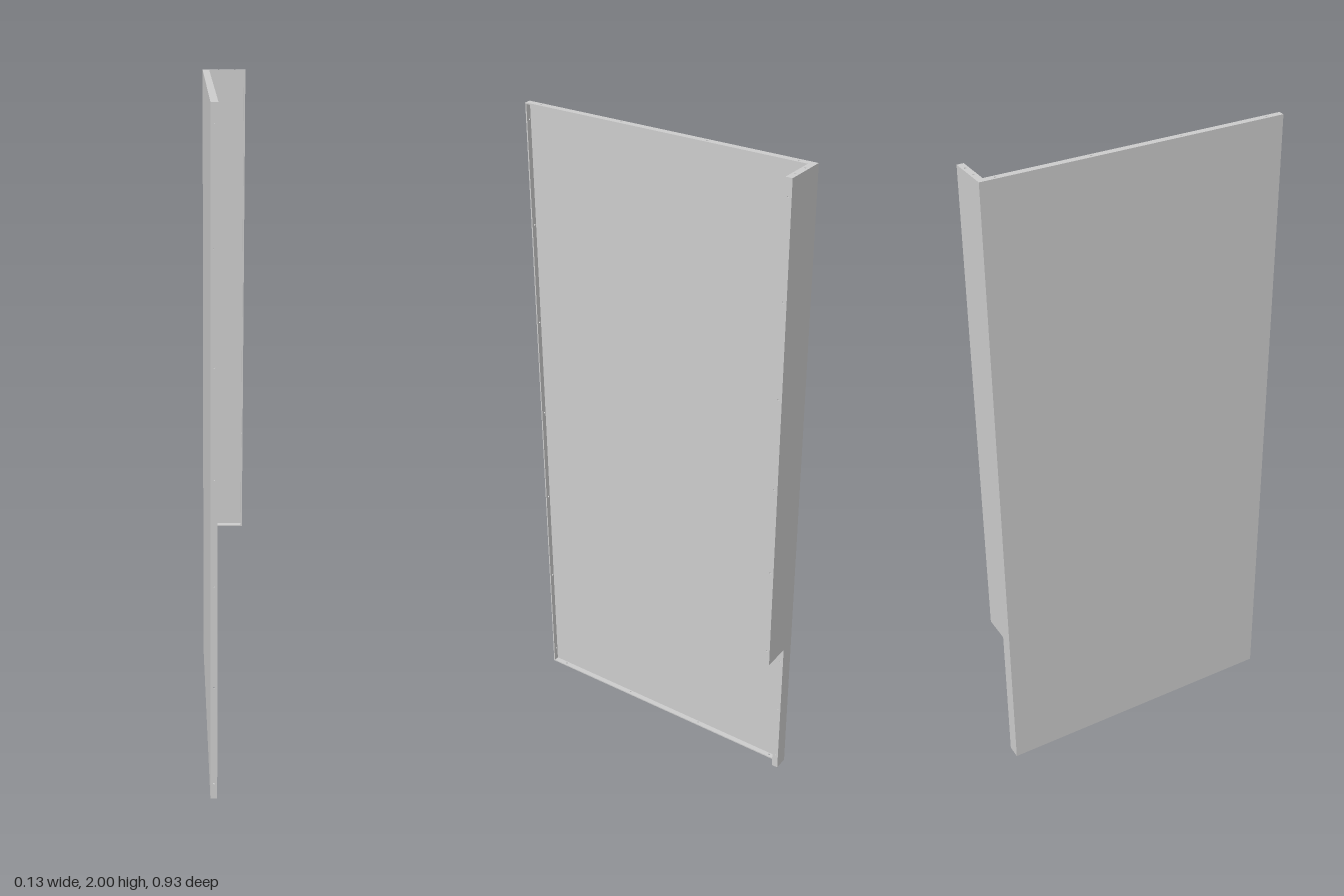
import * as THREE from 'three';

const H = 2;        // height
const L = 0.923;    // panel depth
const W = 0.1315;   // return flange width
const N = 0.044;    // narrow flange width below the notch
const STEP = 0.48;  // notch height
const D = 0.02;     // folded lip depth
const T = 0.004;    // sheet thickness
const X = new THREE.Vector3(1, 0, 0);
const Y = new THREE.Vector3(0, 1, 0);
const Z = new THREE.Vector3(0, 0, 1);

export function createModel() {
  const material = new THREE.MeshStandardMaterial({ color: 0xcccccc });
  const group = new THREE.Group();
  group.name = 'foldedSheetPanel';

  // Flat sheet outlined in the plane of axes a and b, thickened along a x b
  function sheet(name, outline, a, b, origin, holes = []) {
    const shape = new THREE.Shape(outline.map(([u, v]) => new THREE.Vector2(u, v)));
    for (const [u, v] of holes) {
      const hole = new THREE.Path();
      hole.absarc(u, v, 0.003, 0, Math.PI * 2, true);
      shape.holes.push(hole);
    }
    const geometry = new THREE.ExtrudeGeometry(shape, { depth: T, bevelEnabled: false, curveSegments: 6 });
    const n = new THREE.Vector3().crossVectors(a, b);
    geometry.applyMatrix4(new THREE.Matrix4().makeBasis(a, b, n).setPosition(...origin));
    const mesh = new THREE.Mesh(geometry, material);
    mesh.name = name;
    group.add(mesh);
  }

  const rect = (u0, v0, u1, v1) => [[u0, v0], [u1, v0], [u1, v1], [u0, v1]];
  // Evenly spaced values for fastener holes
  const spread = (from, to, count) =>
    Array.from({ length: count }, (_, i) => from + ((to - from) * i) / (count - 1));

  // Main panel and notched return flange
  sheet('mainPanel', rect(0, 0, L, H), Z, Y, [T, 0, 0]);
  sheet('returnFlange', [[0, 0], [N, 0], [N, STEP], [W, STEP], [W, H], [0, H]], X, Y, [0, 0, 0]);

  // Vertical lips
  sheet('frontLip', rect(0, 0, D, H), X, Y, [0, 0, L - T],
    spread(0.05, 1.95, 7).map((y) => [D / 2, y]));
  sheet('flangeLip', rect(0, STEP, D, H), Z, Y, [W, 0, 0],
    spread(0.53, 1.95, 6).map((y) => [D / 2, y]));
  sheet('lowerFlangeLip', rect(0, 0, D, STEP), Z, Y, [N, 0, 0],
    spread(0.05, 0.43, 3).map((y) => [D / 2, y]));

  // Horizontal lips; the sheet hangs below... a x b = X x Z points down
  const panelHoles = spread(0.05, L - 0.05, 4).map((z) => [D / 2, z]);
  sheet('topLip', rect(0, 0, D, L), X, Z, [0, H, 0], panelHoles);
  sheet('bottomLip', rect(0, 0, D, L), X, Z, [0, T, 0], panelHoles);
  sheet('flangeTopLip', rect(D, 0, W, D), X, Z, [0, H, 0], [[0.05, D / 2], [0.1, D / 2]]);
  sheet('flangeNotchLip', rect(N, 0, W, D), X, Z, [0, STEP + T, 0]);
  sheet('flangeBottomLip', rect(D, 0, N, D), X, Z, [0, T, 0]);

  // Turn the assembly so the panel runs slightly askew, centred on the origin
  group.rotation.y = 0.1228;
  group.position.set(-0.066, 0, -0.45);
  const model = new THREE.Group();
  model.name = 'sidePanel';
  model.add(group);
  return model;
}
